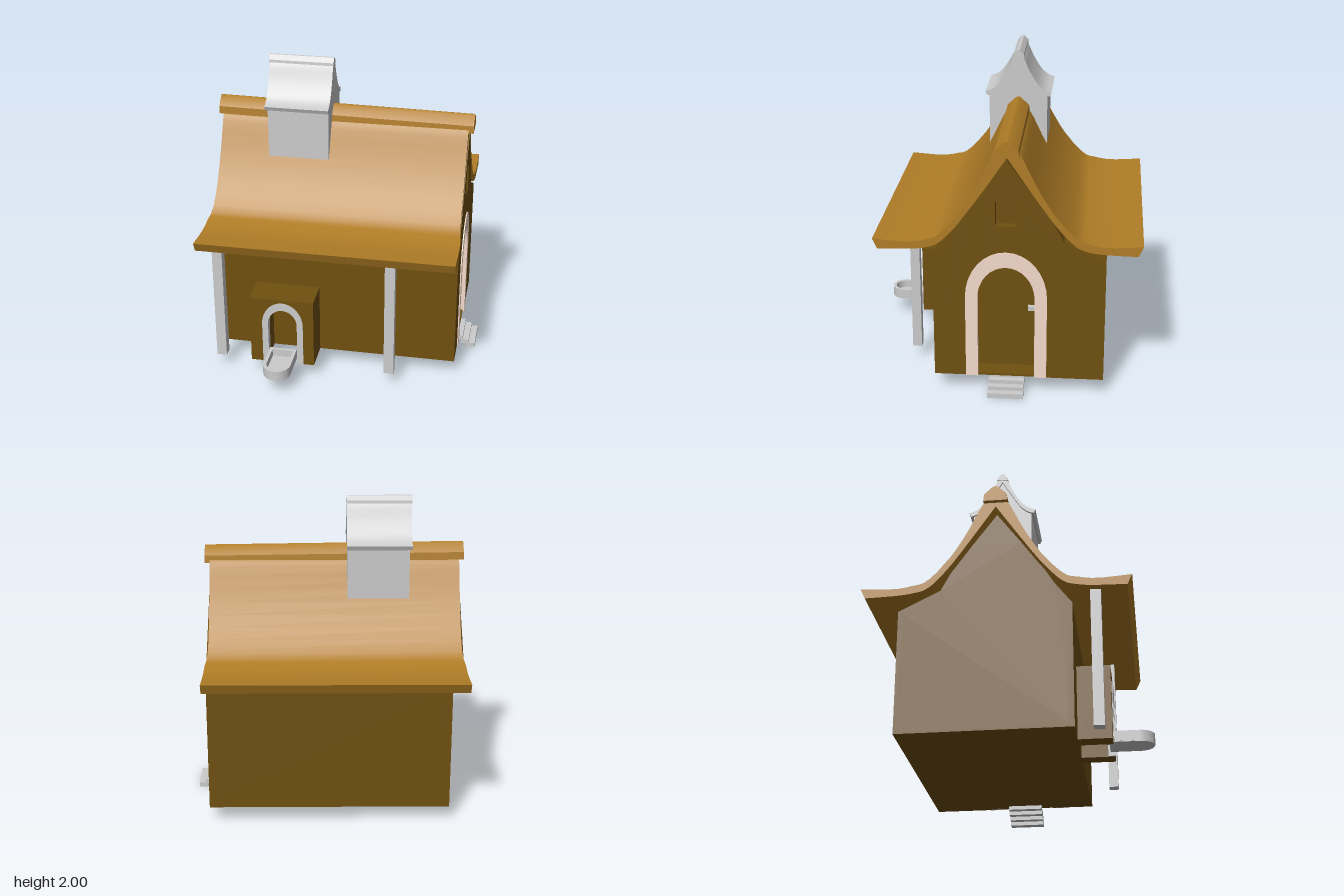
import * as THREE from 'three';
import { toCreasedNormals } from 'three/addons/utils/BufferGeometryUtils.js';

const mat = (color) => new THREE.MeshStandardMaterial({ color, side: THREE.DoubleSide });
const WALL = mat(0x70500f), ROOF = mat(0xb07d26), GREY = mat(0xcccccc), TRIM = mat(0xf6dccd);
const RIDGE_Z = -0.042;
const V = (x, y) => new THREE.Vector2(x, y);
const pts = (list) => list.map(([x, y]) => V(x, y));

export function createModel() {
  const group = new THREE.Group();
  const add = (name, geo, material) => {
    const mesh = new THREE.Mesh(geo, material);
    mesh.name = name;
    group.add(mesh);
  };
  const box = (name, material, x0, x1, y0, y1, z0, z1) => {
    const geo = new THREE.BoxGeometry(x1 - x0, y1 - y0, z1 - z0);
    geo.translate((x0 + x1) / 2, (y0 + y1) / 2, (z0 + z1) / 2);
    add(name, geo, material);
  };
  const extrude = (shape, depth) => toCreasedNormals(
    new THREE.ExtrudeGeometry(shape, { depth, bevelEnabled: false, curveSegments: 16 }), 0.5);
  // (z, y) outline swept along x
  const alongX = (shape, x0, x1) => extrude(shape, x1 - x0).rotateY(-Math.PI / 2).translate(x1, 0, 0);
  // (x, y) outline swept along z
  const alongZ = (shape, z0, z1) => extrude(shape, z1 - z0).translate(0, 0, z0);
  // (x, z) outline swept along y
  const alongY = (shape, y0, y1) => extrude(shape, y1 - y0).rotateX(Math.PI / 2).translate(0, y1, 0);

  // Arch outline, from bottom left over the crown to bottom right
  const arch = (cx, hw, y0, spring, top) => {
    const out = [V(cx - hw, y0)];
    for (let i = 0; i <= 16; i++) {
      const a = Math.PI * (1 - i / 16);
      out.push(V(cx + hw * Math.cos(a), spring + (top - spring) * Math.sin(a)));
    }
    out.push(V(cx + hw, y0));
    return out;
  };
  const frame = (outer, inner) => new THREE.Shape([...outer, ...inner.reverse()]);

  // Half profiles (distance from ridge, height) mirrored about the ridge line
  const smooth = (list, n = 20) => new THREE.SplineCurve(pts(list)).getPoints(n);
  const mirrored = (half) => [
    ...half.map((p) => V(RIDGE_Z - p.x, p.y)),
    ...half.filter((p) => p.x > 0.001).reverse().map((p) => V(RIDGE_Z + p.x, p.y)),
  ];
  const roofShape = (top, under) => new THREE.Shape([...mirrored(top), ...mirrored(under).reverse()]);

  // Floor and long walls
  box('floor', WALL, -0.775, 0.755, 0.1, 0.115, -0.65, 0.42);
  box('frontWall', WALL, -0.775, 0.76, 0.1, 0.9, 0.38, 0.42);
  box('backWall', WALL, -0.775, 0.755, 0.1, 0.9, -0.65, -0.61);

  // Gable walls, following the underside of the roof
  const slope = [[0.42, 0.9], [0.31, 1.045], [0.25, 1.145], [0.112, 1.335], [-0.042, 1.545],
    [-0.196, 1.335], [-0.33, 1.145], [-0.39, 1.03], [-0.65, 0.9]];
  add('leftGable', alongX(new THREE.Shape(
    pts([[0.42, 0.1], ...slope, [-0.65, 0.1]])), -0.775, -0.7), WALL);
  const doorGable = new THREE.Shape([
    ...pts([[0.42, 0.1], ...slope, [-0.65, 0.1]]),
    ...arch(-0.035, 0.19, 0.1, 0.645, 0.87)]);
  doorGable.holes.push(new THREE.Path(arch(-0.035, 0.065, 1.125, 1.265, 1.33)));
  add('doorGable', alongX(doorGable, 0.63, 0.76), WALL);

  // Recessed door with handle, and window backing
  box('door', WALL, 0.615, 0.632, 0.1, 0.9, -0.25, 0.18);
  box('doorHandle', GREY, 0.632, 0.66, 0.515, 0.545, -0.21, -0.165);
  box('windowPane', WALL, 0.69, 0.705, 1.11, 1.34, -0.11, 0.04);

  // Sloping tops of the long walls, under the roof
  const eaveSlope = (name, z0, y0, z1, y1) => add(name, alongX(new THREE.Shape(
    pts([[z0, y0], [z1, y1], [z1, y1 - 0.02], [z0, y0 - 0.02]])), -0.775, 0.755), WALL);
  eaveSlope('frontWallSlope', 0.42, 0.9, 0.31, 1.045);
  eaveSlope('backWallSlope', -0.65, 0.9, -0.39, 1.03);

  // Main roof, a little wider at the eaves
  const roofTop = smooth([[0.83, 1.025], [0.62, 1.012], [0.5, 1.03], [0.42, 1.062],
    [0.29, 1.205], [0.18, 1.385], [0.1, 1.55], [0.065, 1.6], [0, 1.63]]);
  const roofUnder = smooth([[0.8, 0.96], [0.61, 0.965], [0.5, 0.978], [0.41, 1.015],
    [0.29, 1.145], [0.155, 1.335], [0, 1.565]]);
  const roofGeo = alongX(roofShape(roofTop, roofUnder), -0.845, 0.757);
  const p = roofGeo.attributes.position;
  for (let i = 0; i < p.count; i++) {
    const t = THREE.MathUtils.clamp((Math.abs(p.getZ(i) - RIDGE_Z) - 0.38) / 0.13, 0, 1);
    p.setX(i, p.getX(i) + Math.sign(p.getX(i)) * 0.016 * t);
  }
  add('roof', roofGeo, ROOF);

  // Ridge cap, dropping slightly towards the door end
  const cap = mirrored(pts([[0.076, 1.582], [0.07, 1.63], [0.015, 1.681], [0, 1.686]]));
  const capGeo = alongX(new THREE.Shape(cap), -0.875, 0.79);
  const c = capGeo.attributes.position;
  for (let i = 0; i < c.count; i++) c.setY(i, c.getY(i) - 0.012 * c.getX(i));
  add('ridgeCap', capGeo, ROOF);

  // Chimney turret with its own small roof
  const miniUnder = smooth([[0.205, 1.69], [0.165, 1.705], [0.12, 1.745], [0.065, 1.83], [0, 1.94]], 14);
  const miniTop = smooth([[0.217, 1.717], [0.17, 1.735], [0.125, 1.777], [0.075, 1.857],
    [0.032, 1.95], [0, 1.975]], 14);
  const turret = [V(0.19, 1.36), V(0.19, 1.695), ...miniUnder.filter((q) => q.x < 0.17)];
  add('chimneyBody', alongX(new THREE.Shape(mirrored(turret)), -0.52, -0.125), GREY);
  add('chimneyRoof', alongX(roofShape(miniTop, miniUnder), -0.535, -0.122), GREY);
  const miniCap = mirrored(pts([[0.036, 1.952], [0.034, 1.97], [0.008, 1.998], [0, 2]]));
  add('chimneyRidgeCap', alongX(new THREE.Shape(miniCap), -0.54, -0.12), GREY);

  // Doorway trim and entrance steps
  add('doorFrame', alongX(frame(arch(-0.035, 0.255, 0.1, 0.65, 0.955),
    arch(-0.035, 0.178, 0.1, 0.645, 0.855)), 0.735, 0.767), TRIM);
  for (let i = 0; i < 4; i++) {
    const x = 0.69 + i * 0.042, y = 0.075 - i * 0.025;
    box('step' + (i + 1), GREY, x, x + 0.054, y, y + 0.033, -0.15, 0.075);
  }

  // Porch posts
  box('leftPost', GREY, 0.32, 0.385, 0.09, 0.99, 0.56, 0.62);
  box('rightPost', GREY, -0.805, -0.74, 0.09, 0.99, 0.53, 0.595);

  // Hearth annex with arched opening
  const annex = new THREE.Shape([
    ...pts([[-0.14, 0.1], [-0.14, 0.572], [-0.56, 0.572], [-0.56, 0.1]]),
    ...arch(-0.345, 0.11, 0.1, 0.39, 0.52)]);
  add('hearthAnnex', alongZ(annex, 0.42, 0.627), WALL);
  add('hearthFrame', alongZ(frame(arch(-0.345, 0.135, 0.1, 0.39, 0.55),
    arch(-0.345, 0.095, 0.1, 0.39, 0.497)), 0.585, 0.631), GREY);
  box('hearthBar', GREY, -0.45, -0.24, 0.42, 0.45, 0.42, 0.45);

  // Round-ended basin in front of the hearth
  const basin = (r, back) => {
    const s = new THREE.Shape();
    s.moveTo(-0.35 + r, back);
    s.lineTo(-0.35 + r, 0.785);
    s.absarc(-0.35, 0.785, r, 0, Math.PI, false);
    s.lineTo(-0.35 - r, back);
    s.closePath();
    return s;
  };
  const rim = basin(0.09, 0.6);
  rim.holes.push(basin(0.068, 0.62));
  add('basinRim', alongY(rim, 0.125, 0.19), GREY);
  add('basinBottom', alongY(basin(0.088, 0.602), 0.12, 0.14), GREY);

  return group;
}
